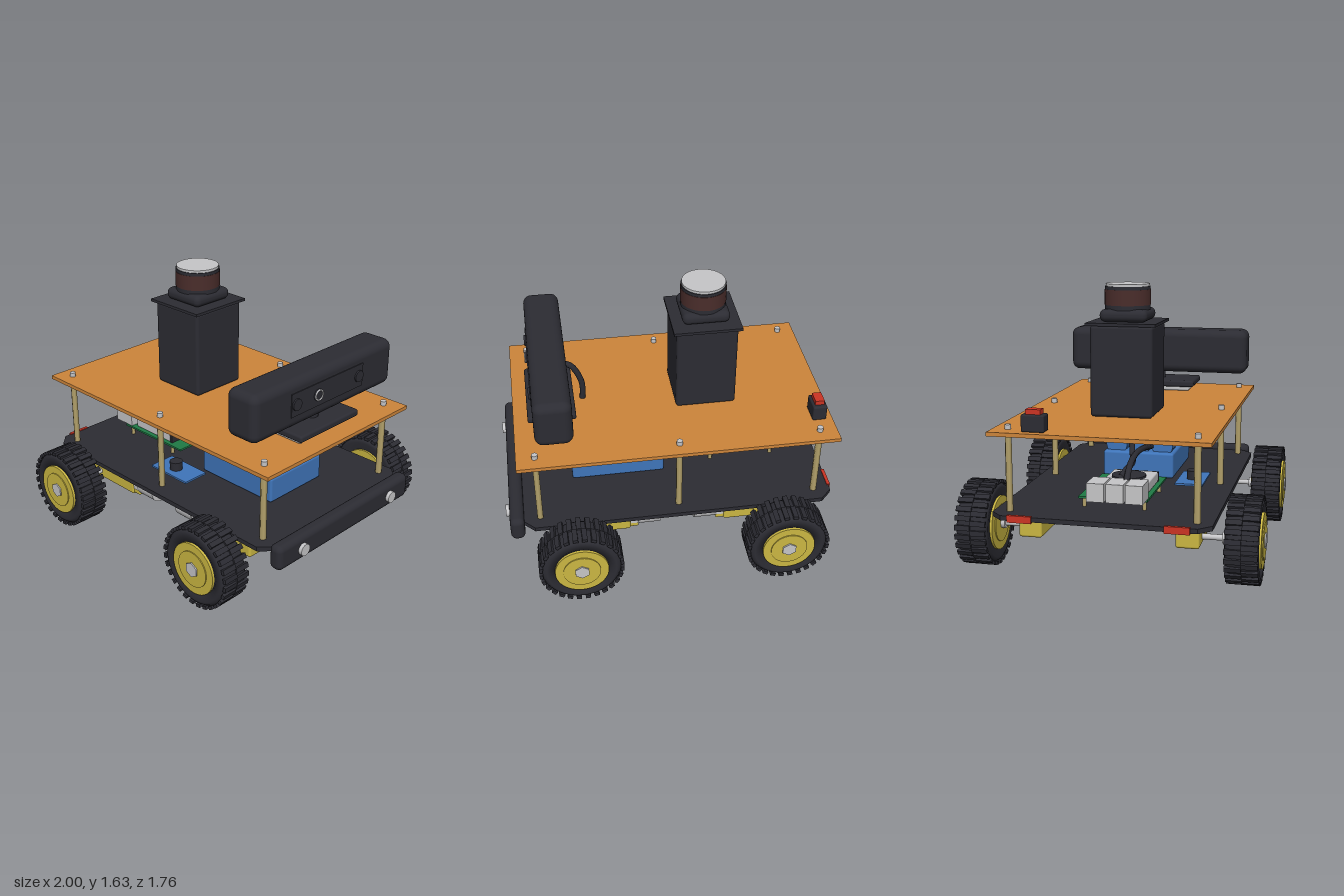
import * as THREE from 'three';
import { RoundedBoxGeometry } from 'three/addons/geometries/RoundedBoxGeometry.js';

const material = (name, color) => new THREE.MeshStandardMaterial({ name, color });

export function createModel() {
  const black = material('charcoal', 0x2c2c33);
  const orange = material('orange deck', 0xcd853b);
  const yellow = material('yellow plastic', 0xcbb742);
  const silver = material('silver', 0xc6c6c8);
  const blue = material('blue', 0x3f75ba);
  const green = material('circuit green', 0x1f7a45);
  const red = material('red', 0xcc3424);
  const brass = material('brass', 0xb5a36c);
  const brown = material('dark brown', 0x4a2d2b);

  const model = new THREE.Group();
  const add = (name, geo, mat, x = 0, y = 0, z = 0, parent = model) => {
    const m = new THREE.Mesh(geo, mat);
    m.name = name;
    m.position.set(x, y, z);
    parent.add(m);
    return m;
  };
  // Boxes are given by their lower and upper limits on each axis
  const box = (name, mat, [x0, x1], [y0, y1], [z0, z1], r = 0, parent = model) => {
    const s = [x1 - x0, y1 - y0, z1 - z0];
    const geo = r ? new RoundedBoxGeometry(...s, 4, r) : new THREE.BoxGeometry(...s);
    return add(name, geo, mat, (x0 + x1) / 2, (y0 + y1) / 2, (z0 + z1) / 2, parent);
  };
  const cyl = (name, mat, r, len, axis, x, y, z, sides = 32, parent = model) => {
    const geo = new THREE.CylinderGeometry(r, r, len, sides);
    if (axis === 'x') geo.rotateZ(-Math.PI / 2);
    if (axis === 'z') geo.rotateX(Math.PI / 2);
    return add(name, geo, mat, x, y, z, parent);
  };
  const cable = (name, r, pts) => {
    const curve = new THREE.CatmullRomCurve3(pts.map(p => new THREE.Vector3(...p)));
    return add(name, new THREE.TubeGeometry(curve, 48, r, 10), black);
  };

  // Decks
  const deck = new THREE.Shape();
  const c = 0.07;
  [[-0.99, -0.62 + c], [-0.99 + c, -0.62], [0.9 - c, -0.62], [0.9, -0.62 + c],
    [0.9, 0.62 - c], [0.9 - c, 0.62], [-0.99 + c, 0.62], [-0.99, 0.62 - c]]
    .forEach(([x, y], i) => (i ? deck.lineTo(x, y) : deck.moveTo(x, y)));
  const deckGeo = new THREE.ExtrudeGeometry(deck, { depth: 0.027, bevelEnabled: false });
  deckGeo.rotateX(-Math.PI / 2);
  add('lowerDeck', deckGeo, black, 0, 0.367, 0);
  box('upperDeck', orange, [-0.99, 0.905], [0.837, 0.86], [-0.62, 0.62]);

  // Standoffs with screws above and below
  for (const x of [-0.885, -0.045, 0.795]) {
    for (const z of [-0.53, 0.53]) {
      cyl('standoff', brass, 0.02, 0.445, 'y', x, 0.615, z, 6);
      cyl('topScrew', silver, 0.018, 0.03, 'y', x, 0.872, z, 12);
      cyl('bottomScrew', silver, 0.018, 0.025, 'y', x, 0.357, z, 12);
    }
  }

  // Wheels, built around the z axis with +z outward
  const tyreGeo = new THREE.LatheGeometry([[0.15, -0.085], [0.205, -0.094], [0.222, -0.088], [0.236, -0.07],
    [0.239, 0], [0.236, 0.07], [0.222, 0.088], [0.205, 0.094], [0.15, 0.085], [0.15, -0.085]]
    .map(p => new THREE.Vector2(...p)), 48);
  tyreGeo.rotateX(Math.PI / 2);
  const lugGeo = new THREE.BoxGeometry(0.03, 0.02, 0.092);
  const lugs = 28;
  function makeWheel() {
    const wheel = new THREE.Group();
    wheel.name = 'wheel';
    const tyre = add('tyre', tyreGeo, black, 0, 0, 0, wheel);
    tyre.material = black;
    for (let row = 0; row < 2; row++) {
      for (let i = 0; i < lugs; i++) {
        const a = (i + row * 0.5) / lugs * Math.PI * 2;
        const lug = add('treadLug', lugGeo, black, Math.sin(a) * 0.24, Math.cos(a) * 0.24, row ? 0.046 : -0.046, wheel);
        lug.rotation.z = -a;
      }
    }
    cyl('hub', yellow, 0.158, 0.2, 'z', 0, 0, 0, 40, wheel);
    cyl('hubCollar', yellow, 0.11, 0.212, 'z', 0, 0, 0, 40, wheel);
    cyl('hubNut', silver, 0.046, 0.01, 'z', 0, 0, 0.109, 6, wheel);
    cyl('axle', silver, 0.017, 0.28, 'z', 0, 0, -0.19, 16, wheel);
    cyl('axleCollar', silver, 0.033, 0.03, 'z', 0, 0, -0.115, 16, wheel);
    return wheel;
  }

  // Four drive units: wheel, gearbox and motor; dir points to the middle of the car
  for (const [x, dir] of [[-0.66, 1], [0.58, -1]]) {
    for (const side of [-1, 1]) {
      const wheel = makeWheel();
      wheel.position.set(x, 0.25, side * 0.768);
      if (side < 0) wheel.rotation.y = Math.PI;
      model.add(wheel);
      const gear = new THREE.Group();
      gear.name = 'driveMotor';
      gear.position.set(x, 0, side * 0.455);
      gear.rotation.y = dir > 0 ? 0 : Math.PI;
      model.add(gear);
      box('gearbox', yellow, [-0.11, 0.33], [0.205, 0.365], [-0.068, 0.068], 0.015, gear);
      box('gearboxEnd', yellow, [0.3, 0.38], [0.215, 0.36], [-0.06, 0.06], 0.01, gear);
      box('motorClip', silver, [0.33, 0.4], [0.25, 0.32], [-0.066, 0.066], 0, gear);
      cyl('motor', silver, 0.074, 0.14, 'x', 0.445, 0.285, 0, 28, gear);
    }
  }

  // Bumper with headlights, and tail lights
  box('bumper', black, [0.892, 0.978], [0.275, 0.43], [-0.592, 0.592], 0.035);
  for (const z of [-0.4, 0.4]) cyl('headlight', silver, 0.036, 0.04, 'x', 0.98, 0.35, z, 24);
  for (const z of [-0.44, 0.44]) box('tailLight', red, [-1, -0.98], [0.36, 0.4], [z - 0.07, z + 0.07]);

  // Sensor tower
  const tx = -0.263;
  box('tower', black, [-0.445, -0.08], [0.86, 1.395], [-0.185, 0.185], 0.02);
  box('towerPlate', black, [-0.465, -0.06], [1.393, 1.41], [-0.206, 0.206]);
  box('scannerBase', black, [tx - 0.141, tx + 0.141], [1.41, 1.484], [-0.141, 0.141], 0.034);
  cyl('scannerFoot', black, 0.134, 0.03, 'y', tx, 1.492, 0, 40);
  cyl('scannerWindow', brown, 0.136, 0.09, 'y', tx, 1.549, 0, 40);
  cyl('scannerRim', black, 0.134, 0.02, 'y', tx, 1.603, 0, 40);
  cyl('scannerCap', silver, 0.129, 0.016, 'y', tx, 1.62, 0, 40);

  // Depth camera on its foot
  box('cameraFootPad', silver, [0.565, 0.78], [0.86, 0.892], [-0.22, 0.22], 0.012);
  box('cameraFoot', black, [0.53, 0.818], [0.89, 0.933], [-0.255, 0.255], 0.014);
  cyl('cameraNeck', black, 0.038, 0.09, 'y', 0.675, 0.96, 0, 20);
  box('cameraBody', black, [0.565, 0.785], [0.983, 1.27], [-0.6, 0.6], 0.05);
  box('cameraFace', black, [0.782, 0.79], [1.06, 1.2], [-0.31, 0.31]);
  for (const z of [0.27, 0.09, -0.27]) cyl('cameraLens', black, 0.035, 0.014, 'x', 0.793, 1.13, z, 24);
  const ring = add('lensRing', new THREE.TorusGeometry(0.03, 0.005, 8, 28), silver, 0.8, 1.13, 0.09);
  ring.rotation.y = Math.PI / 2;

  // Power switch
  box('switchBase', black, [-0.95, -0.865], [0.86, 0.957], [-0.435, -0.302], 0.01);
  box('switchButton', red, [-0.935, -0.88], [0.95, 0.985], [-0.41, -0.325]);

  // Battery pack
  box('batteryTray', blue, [0, 0.575], [0.395, 0.555], [-0.225, 0.225], 0.015);
  for (const z of [-0.147, 0, 0.147]) cyl('batteryCell', blue, 0.067, 0.49, 'x', 0.285, 0.592, z, 32);

  // Driver board above the battery
  box('boardMount', brass, [0.14, 0.43], [0.628, 0.636], [-0.23, 0.23]);
  box('driverBoard', red, [0.13, 0.435], [0.684, 0.696], [-0.155, 0.155]);
  for (const x of [0.155, 0.41]) {
    for (const z of [-0.13, 0.13]) cyl('boardPost', brass, 0.01, 0.055, 'y', x, 0.66, z, 10);
  }
  box('heatSink', black, [0.2, 0.37], [0.696, 0.832], [-0.06, 0.06]);
  for (const z of [-0.085, 0, 0.085]) box('terminal', blue, [0.378, 0.436], [0.696, 0.767], [z - 0.04, z + 0.04]);

  // Main computer board
  box('computerBoard', green, [-0.74, -0.21], [0.448, 0.46], [-0.175, 0.225]);
  for (const x of [-0.7, -0.31]) {
    for (const z of [-0.15, 0.2]) cyl('computerPost', brass, 0.012, 0.06, 'y', x, 0.42, z, 10);
  }
  for (const z of [-0.05, 0.06, 0.17]) box('port', silver, [-0.84, -0.69], [0.46, 0.566], [z - 0.05, z + 0.05]);
  box('processorCover', silver, [-0.66, -0.335], [0.46, 0.526], [-0.07, 0.2], 0.01);
  box('sideHeader', black, [-0.335, -0.315], [0.46, 0.52], [-0.07, 0.2]);
  cyl('fan', black, 0.1, 0.014, 'y', -0.49, 0.531, 0.06, 28);

  // Small sensor module
  box('sensorBoard', blue, [-0.23, 0.08], [0.418, 0.43], [0.28, 0.45]);
  cyl('sensorCan', black, 0.04, 0.055, 'y', -0.09, 0.456, 0.37, 24);

  // Cables
  cable('towerCable', 0.018, [[-0.25, 0.85, 0], [-0.235, 0.75, 0.01], [-0.28, 0.63, 0.03], [-0.4, 0.59, 0.06], [-0.55, 0.585, 0.06], [-0.7, 0.57, 0.06]]);
  cable('powerCable', 0.018, [[-0.72, 0.555, 0.1], [-0.6, 0.615, 0.09], [-0.4, 0.642, 0.08], [-0.2, 0.63, 0.08], [0, 0.595, 0.075], [0.1, 0.58, 0.075]]);
  cable('cameraCable', 0.018, [[0.58, 1.13, 0], [0.53, 1.1, 0], [0.475, 0.98, 0], [0.475, 0.85, 0], [0.49, 0.74, 0], [0.46, 0.67, 0], [0.38, 0.65, 0]]);

  return model;
}
